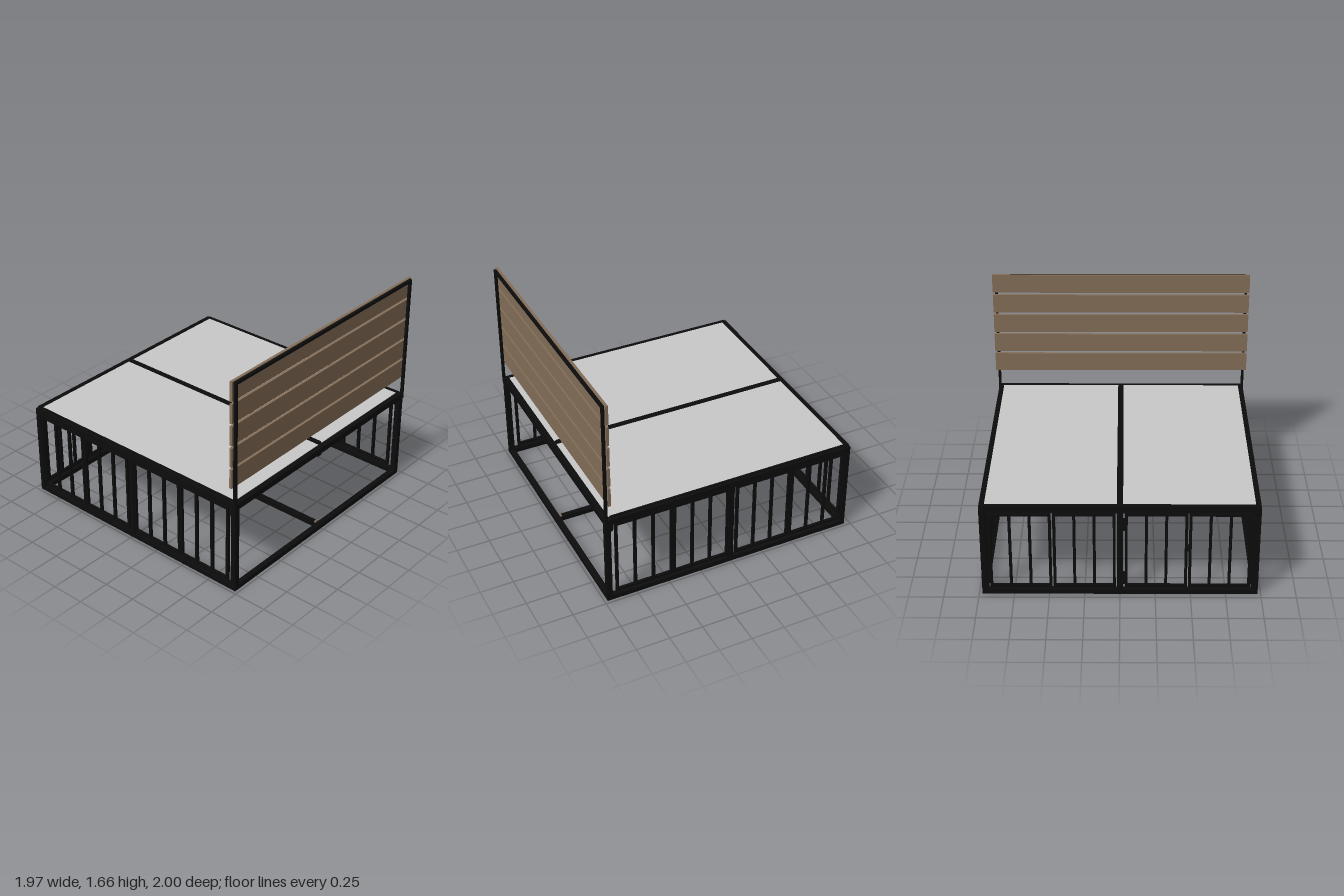
import * as THREE from 'three';

export function createModel() {
  const model = new THREE.Group();
  model.name = 'slattedCrateWithBackboard';

  const steel = new THREE.MeshStandardMaterial({ color: 0x0c0c0c });
  steel.name = 'black steel';
  const wood = new THREE.MeshStandardMaterial({ color: 0x846e58 });
  wood.name = 'brown wood';
  const grey = new THREE.MeshStandardMaterial({ color: 0xc8c8c8 });
  grey.name = 'light grey panel';

  // Box given by its min and max along each axis
  function bar(name, mat, x0, x1, y0, y1, z0, z1, parent = model) {
    const mesh = new THREE.Mesh(new THREE.BoxGeometry(x1 - x0, y1 - y0, z1 - z0), mat);
    mesh.position.set((x0 + x1) / 2, (y0 + y1) / 2, (z0 + z1) / 2);
    mesh.name = name;
    parent.add(mesh);
    return mesh;
  }

  const X0 = -0.955, X1 = 0.978, Z = 0.978, T = 0.04, H = 0.715;

  // Outer frame: long rails, corner posts and middle posts
  for (const s of [-1, 1]) {
    const za = s > 0 ? Z - T : -Z;
    const zb = za + T;
    bar('bottomSideRail', steel, X0, X1, 0, 0.037, za, zb);
    bar('topSideRail', steel, X0, X1, 0.67, H, za, zb);
    bar('frontPost', steel, X0, X0 + T, 0.037, 0.67, za, zb);
    bar('rearPost', steel, X1 - T, X1, 0.037, 0.67, za, zb);
    bar('middlePost', steel, -0.012, 0.028, 0.037, 0.67, za, zb);
    bar('railBracket', steel, 0.922, 0.94, 0.615, 0.7, za, zb);
  }
  // Cross rails at both ends
  for (const x of [X0, X1 - T]) {
    bar('bottomEndRail', steel, x, x + T, 0, 0.037, -Z + T, Z - T);
    bar('topEndRail', steel, x, x + T, 0.67, H, -Z + T, Z - T);
  }
  bar('endMiddlePost', steel, X0, X0 + T, 0.037, 0.67, -0.02, 0.02);

  // Centre spine with its post
  bar('bottomSpine', steel, X0 + T, X1 - T, 0, 0.037, -0.02, 0.02);
  bar('topSpine', steel, X0 + T, X1 - T, 0.67, H, -0.02, 0.02);
  bar('centrePost', steel, -0.012, 0.028, 0.037, 0.67, -0.02, 0.02);
  bar('spineBracket', steel, 0.922, 0.938, 0.615, 0.7, -0.02, 0.02);
  for (const x of [X0 + T, X1 - T - 0.012])
    bar('spineEndBlock', wood, x, x + 0.012, 0.037, 0.05, -0.018, 0.018);

  // Barred panel, 0.44 wide, starting at its local origin and running along +x
  const W = 0.44, B = 0.02;
  function barredPanel(name) {
    const g = new THREE.Group();
    g.name = name;
    for (const y of [0.053, 0.64]) bar('panelRail', steel, 0, W, y, y + B, -B / 2, B / 2, g);
    for (let i = 0; i < 4; i++) {
      const x = i * (W - B) / 3;
      bar('panelBar', steel, x, x + B, 0.073, 0.64, -B / 2, B / 2, g);
    }
    model.add(g);
    return g;
  }
  for (const z of [-0.958, 0.958])
    for (const x of [-0.92, -0.474, 0.02, 0.464])
      barredPanel('sidePanel').position.set(x, 0, z);
  for (const z of [0.922, 0.474, -0.03, -0.48]) {
    const g = barredPanel(z > 0 ? 'door' : 'endPanel');
    g.rotation.y = Math.PI / 2;
    g.position.set(-0.938, 0, z);
  }

  // Door hinges and handle
  for (const z of [0.932, 0.022])
    for (const y of [0.09, 0.53]) {
      bar('hingePlate', steel, -0.961, -0.95, y, y + 0.1, z - 0.02, z + 0.02);
      bar('hingeKnuckle', steel, -0.966, -0.955, y + 0.02, y + 0.08, z - 0.006, z + 0.006);
    }
  bar('handleGrip', steel, -0.985, -0.98, 0.38, 0.415, 0.465, 0.48);
  for (const y of [0.38, 0.41])
    bar('handleArm', steel, -0.98, -0.948, y, y + 0.005, 0.465, 0.48);

  // Two top lids in thin edging
  for (const s of [-1, 1]) {
    const a = s > 0 ? 0.022 : -0.94;
    bar('topLid', grey, -0.92, 0.938, 0.7, 0.719, a, a + 0.918);
    const e = s > 0 ? 0.94 : -0.955;
    bar('lidSideEdge', steel, X0, 0.93, H, 0.723, e, e + 0.015);
  }
  bar('lidEndEdge', steel, X0, -0.92, H, 0.723, -0.94, 0.94);
  bar('lidCentreEdge', steel, -0.92, 0.93, H, 0.723, -0.022, 0.022);

  // Backboard: steel hoop with five planks
  for (const z of [-0.984, 0.964])
    bar('backboardPost', steel, 0.96, 0.98, 0.67, 1.66, z, z + 0.02);
  bar('backboardTopBar', steel, 0.96, 0.98, 1.64, 1.66, -0.964, 0.964);
  for (let i = 0; i < 5; i++) {
    const y = 0.853 + i * 0.1665;
    bar('backboardPlank', wood, 0.94, 0.96, y, y + 0.146, -1, 1);
  }
  return model;
}
